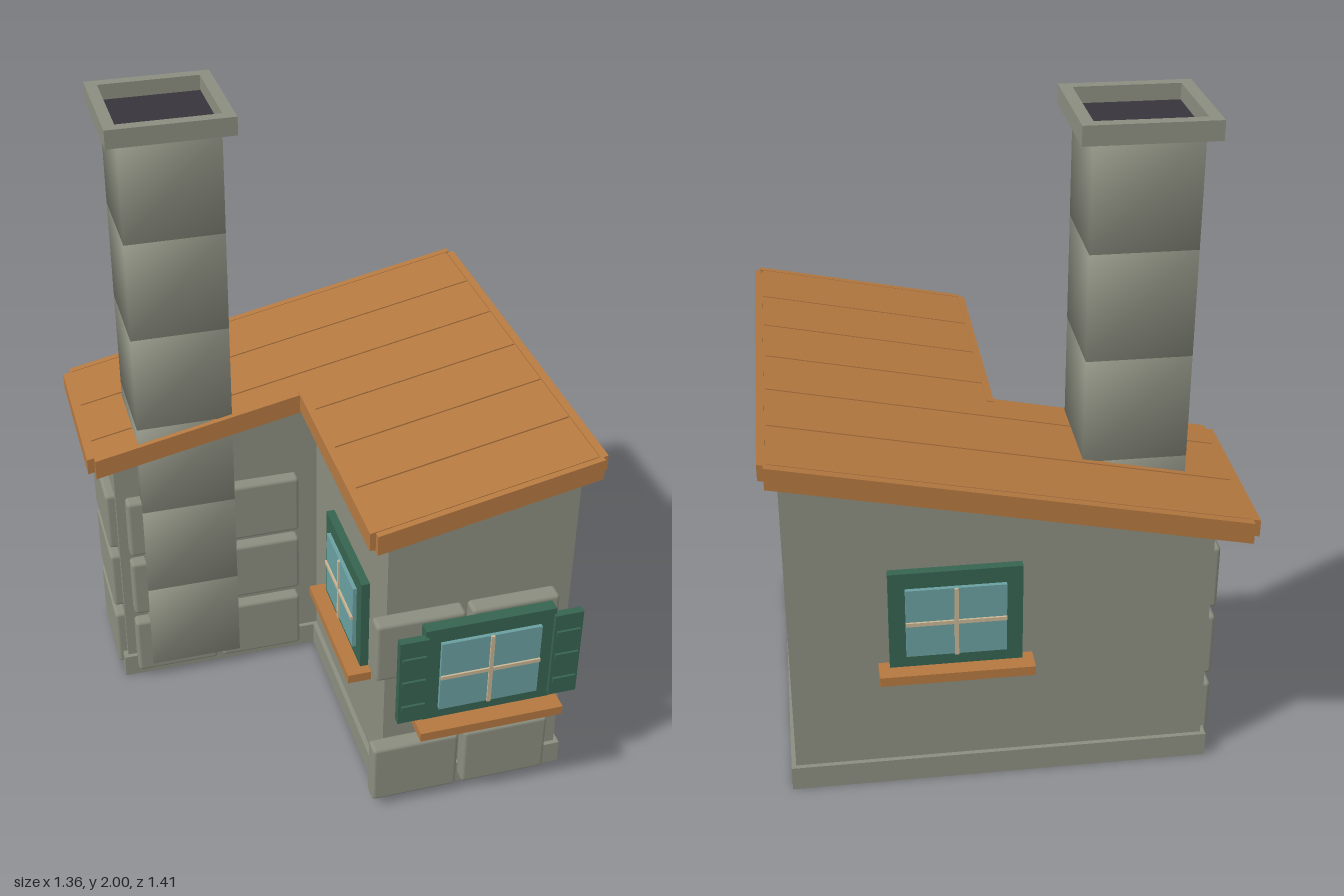
import * as THREE from 'three';
import { mergeVertices } from 'three/addons/utils/BufferGeometryUtils.js';
import { RoundedBoxGeometry } from 'three/addons/geometries/RoundedBoxGeometry.js';

const material = (name, color) => {
  const m = new THREE.MeshStandardMaterial({ color });
  m.name = name;
  return m;
};

export function createModel() {
  const stone = material('stone', 0x8b8d7f);
  const wood = material('wood', 0xb47840);
  const green = material('green paint', 0x366350);
  const glass = material('glass', 0x6a9fa0);
  const cream = material('cream', 0xc8b594);
  const soot = material('soot', 0x37343c);

  const model = new THREE.Group();
  model.name = 'cottage';

  const add = (parent, name, geometry, mat) => {
    const mesh = new THREE.Mesh(geometry, mat);
    mesh.name = name;
    parent.add(mesh);
    return mesh;
  };
  const group = (name, parent = model) => {
    const g = new THREE.Group();
    g.name = name;
    parent.add(g);
    return g;
  };
  // Box given by its lower and upper limits on each axis
  const span = (x0, x1, y0, y1, z0, z1) =>
    new THREE.BoxGeometry(x1 - x0, y1 - y0, z1 - z0)
      .translate((x0 + x1) / 2, (y0 + y1) / 2, (z0 + z1) / 2);
  // Move every vertex's height by a rule and refresh the flat normals
  const reshapeY = (geometry, rule) => {
    const p = geometry.attributes.position;
    for (let i = 0; i < p.count; i++) p.setY(i, rule(p.getX(i), p.getY(i)));
    geometry.computeVertexNormals();
    return geometry;
  };

  // L-shaped floor plan, grown outward by o
  const plan = (o, height) => {
    const pts = [
      [-0.6 - o, -0.54 - o], [0.63 + o, -0.54 - o], [0.63 + o, 0.555 + o],
      [0.06 - o, 0.555 + o], [0.06 - o, -0.205 + o], [-0.6 - o, -0.205 + o],
    ].map(([x, z]) => new THREE.Vector2(x, -z));
    return new THREE.ExtrudeGeometry(new THREE.Shape(pts), { depth: height, bevelEnabled: false })
      .rotateX(-Math.PI / 2);
  };

  // Walls rise to a sloping top, with a low plinth around the foot
  add(model, 'walls', reshapeY(plan(0, 1), (x, y) => y * (0.955 + 0.199 * x)), stone);
  add(model, 'plinth', plan(0.014, 0.078), stone);

  // Facing stones
  const stones = group('facingStones');
  const rows = [0.135, 0.38, 0.62];
  const block = (x, y, z, w, d) => {
    const mesh = add(stones, 'facingStone', new RoundedBoxGeometry(w, 0.208, d, 2, 0.012), stone);
    mesh.position.set(x, y, z);
  };
  rows.forEach((y, i) => {
    block(-0.435, y, -0.193, 0.272, 0.056);
    block(-0.145, y, -0.193, 0.272, 0.056);
    block(-0.602, y, -0.37, 0.056, 0.285);
    if (i !== 1) {
      block(0.15, y, 0.582, 0.272, 0.056);
      block(0.44, y, 0.582, 0.272, 0.056);
    }
  });

  // Roof: everything is built level and then sheared to the slope
  const roof = group('roof');
  const slope = (x, y) => y + 1.06 + 0.206 * x;
  const board = (name, ...limits) => add(roof, name, reshapeY(span(...limits), slope), wood);
  board('backDeck', -0.655, 0.655, -0.06, -0.008, -0.685, -0.15);
  board('frontDeck', 0, 0.655, -0.06, -0.008, -0.15, 0.605);
  const width = 0.215, gap = 0.003;
  for (let i = 0; i < 6; i++) {
    const z0 = -0.685 + i * width + gap, z1 = z0 + width - 2 * gap;
    if (i === 2) {
      board('plank', -0.655, 0.65, -0.008, 0, z0, -0.15);
      board('plank', 0, 0.65, -0.008, 0, -0.15, z1);
    } else {
      board('plank', i < 2 ? -0.655 : 0, 0.65, -0.008, 0, z0, z1);
    }
  }
  // Edge trim
  board('rightTrim', 0.655, 0.677, -0.052, -0.004, -0.685, 0.605);
  board('leftTrim', -0.682, -0.655, -0.052, 0, -0.685, -0.16);
  board('backTrim', -0.66, 0.66, -0.064, 0, -0.708, -0.685);
  board('frontTrim', 0.005, 0.66, -0.064, 0, 0.605, 0.625);
  board('notchFrontTrim', -0.66, 0, -0.064, 0, -0.16, -0.138);
  board('notchSideTrim', -0.012, 0.01, -0.056, 0.003, -0.16, 0.605);

  // Chimney of soft-shaded stacked blocks
  const chimney = group('chimney');
  chimney.position.set(-0.374, 0, -0.303);
  const pitch = (1.945 - 0.06) / 6;
  for (let i = 0; i < 6; i++) {
    let g = new THREE.BoxGeometry(0.298, pitch - 0.004, 0.296);
    g.deleteAttribute('normal');
    g.deleteAttribute('uv');
    g = mergeVertices(g);
    g.computeVertexNormals();
    add(chimney, 'chimneyBlock', g, stone).position.y = 0.06 + pitch * (i + 0.5);
  }
  // Open cap with a dark flue
  const square = (Type, h) => new Type([[-h, -h], [h, -h], [h, h], [-h, h]]
    .map(([x, y]) => new THREE.Vector2(x, y)));
  const rim = square(THREE.Shape, 0.185);
  rim.holes.push(square(THREE.Path, 0.15));
  add(chimney, 'chimneyCap', new THREE.ExtrudeGeometry(rim, { depth: 0.055, bevelEnabled: false })
    .rotateX(-Math.PI / 2), stone).position.y = 1.945;
  add(chimney, 'flue', span(-0.15, 0.15, 1.946, 1.954, -0.15, 0.15), soot);

  // Window facing +z: frame, pane, glazing bars and sill
  const makeWindow = (name, o) => {
    const g = group(name);
    const { w, h, d, gw, gh, sillW, sillBack, sillFront } = o;
    const cy = h / 2 - 0.003;
    add(g, 'windowFrame', span(-w / 2, w / 2, 0, h, 0, d), green);
    add(g, 'pane', span(-gw / 2, gw / 2, cy - gh / 2, cy + gh / 2, d - 0.005, d + 0.012), glass);
    add(g, 'uprightBar', span(-0.006, 0.006, cy - gh / 2, cy + gh / 2, d + 0.01, d + 0.018), cream);
    add(g, 'crossBar', span(-gw / 2, gw / 2, cy - 0.006, cy + 0.006, d + 0.01, d + 0.018), cream);
    add(g, 'sill', span(-sillW / 2, sillW / 2, -0.028, 0.002, sillBack, sillFront), wood);
    return g;
  };

  const front = makeWindow('frontWindow',
    { w: 0.4, h: 0.34, d: 0.038, gw: 0.308, gh: 0.25, sillW: 0.447, sillBack: -0.015, sillFront: 0.095 });
  front.position.set(0.35, 0.37, 0.61);
  // Open shutters with raised slats
  for (const s of [-1, 1]) {
    const shutter = group('shutter', front);
    shutter.position.x = s * 0.237;
    add(shutter, 'shutterPanel', span(-0.044, 0.044, 0.016, 0.32, 0.025, 0.05), green);
    for (const y of [0.075, 0.168, 0.255])
      add(shutter, 'slat', span(-0.036, 0.036, y - 0.008, y + 0.008, 0.048, 0.058), green);
  }

  const small = { w: 0.385, h: 0.32, d: 0.026, gw: 0.29, gh: 0.225, sillW: 0.45, sillBack: 0, sillFront: 0.073 };
  const back = makeWindow('backWindow', small);
  back.position.set(0.15, 0.427, -0.54);
  back.rotation.y = Math.PI;
  const side = makeWindow('sideWindow', small);
  side.position.set(0.06, 0.387, 0.2);
  side.rotation.y = -Math.PI / 2;

  return model;
}
